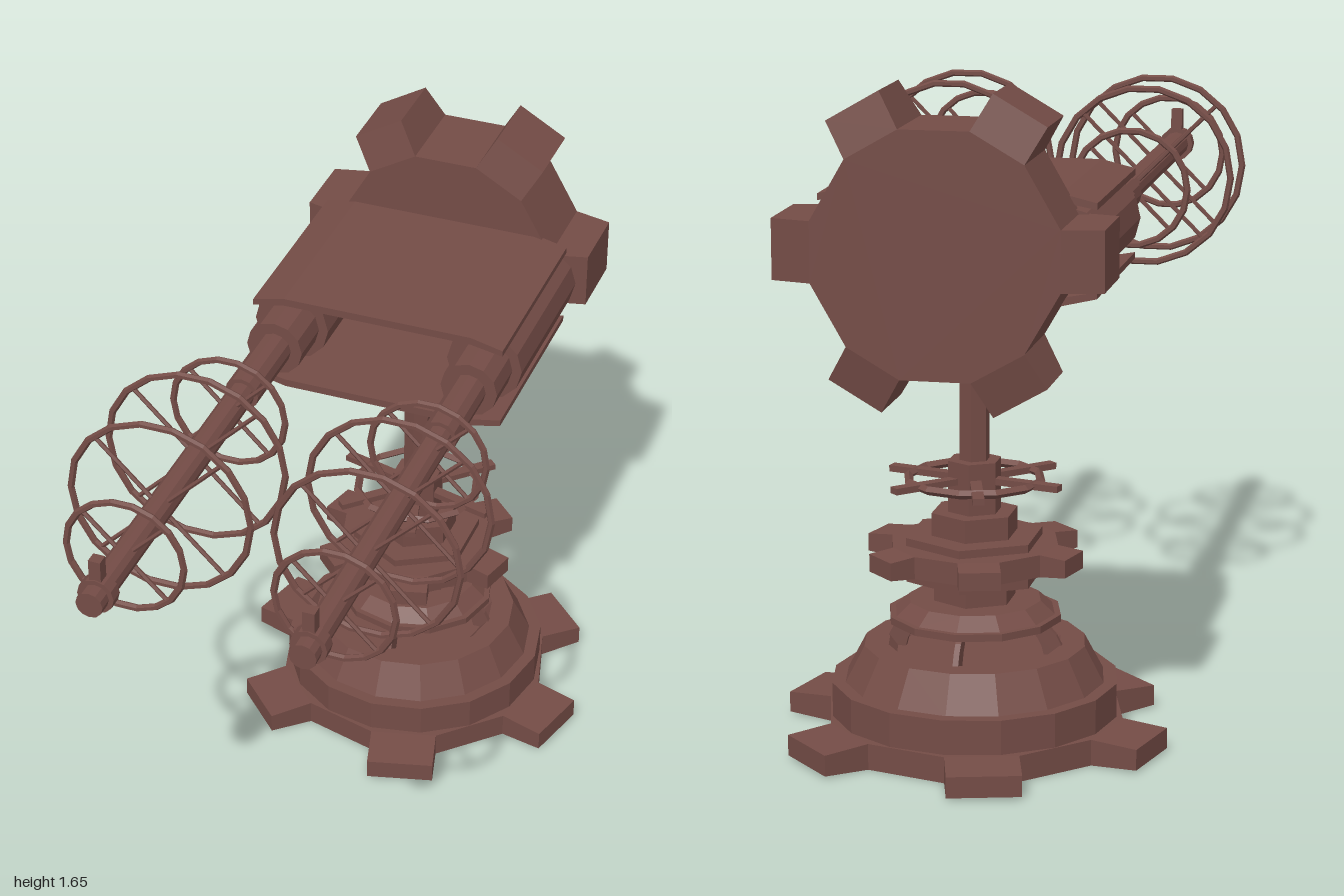
import * as THREE from 'three';

const material = new THREE.MeshStandardMaterial({
  color: 0x744c46, flatShading: true, side: THREE.DoubleSide,
});

function add(parent, name, geometry, x = 0, y = 0, z = 0) {
  const mesh = new THREE.Mesh(geometry, material);
  mesh.name = name;
  mesh.position.set(x, y, z);
  parent.add(mesh);
  return mesh;
}

// Upright cylinder between two heights
function drum(parent, name, y0, y1, rBottom, rTop = rBottom, sides = 6) {
  return add(parent, name, new THREE.CylinderGeometry(rTop, rBottom, y1 - y0, sides), 0, (y0 + y1) / 2, 0);
}

// Cylinder along z between two depths
function barrelPart(parent, name, z0, z1, r, sides = 12) {
  const g = new THREE.CylinderGeometry(r, r, z1 - z0, sides).rotateX(Math.PI / 2);
  return add(parent, name, g, 0, 0, (z0 + z1) / 2);
}

// Six-toothed gear in the xy plane, thickness along z; teeth taper towards the tip
function makeGear(name, outer, depth, startAngle = 0) {
  const gear = new THREE.Group();
  gear.name = name;
  const root = outer * 0.774, halfWidth = outer * 0.186;
  const spread = Math.asin(halfWidth / root);
  const points = [];
  for (let i = 0; i < 6; i++) {
    const a = startAngle + i * Math.PI / 3;
    for (const s of [-spread, spread]) {
      points.push(new THREE.Vector2(Math.cos(a + s) * root, Math.sin(a + s) * root));
    }
  }
  const body = new THREE.ExtrudeGeometry(new THREE.Shape(points), { depth, bevelEnabled: false });
  add(gear, name + 'Body', body.translate(0, 0, -depth / 2));

  const inner = root * Math.cos(spread);
  for (let i = 0; i < 6; i++) {
    const tooth = new THREE.BoxGeometry(outer - inner, halfWidth * 2, depth);
    tooth.translate((outer + inner) / 2, 0, 0);
    const p = tooth.attributes.position;
    for (let j = 0; j < p.count; j++) {
      if (p.getX(j) > outer - 0.001) p.setZ(j, p.getZ(j) * 0.8);
    }
    add(gear, name + 'Tooth', tooth).rotation.z = startAngle + i * Math.PI / 3;
  }
  return gear;
}

function flatGear(parent, name, outer, y0, y1) {
  const gear = makeGear(name, outer, y1 - y0, -Math.PI / 12);
  gear.rotation.x = -Math.PI / 2;
  gear.position.y = (y0 + y1) / 2;
  parent.add(gear);
}

function makePedestal() {
  const g = new THREE.Group();
  g.name = 'pedestal';
  flatGear(g, 'baseGear', 0.48, 0, 0.065);
  drum(g, 'baseDrum', 0.06, 0.15, 0.355, 0.355, 16);

  // Sloped dome with a shallow recess on top
  const dome = [[0.325, 0.145], [0.275, 0.24], [0.215, 0.24], [0.195, 0.215], [0, 0.215]];
  add(g, 'dome', new THREE.LatheGeometry(dome.map(([x, y]) => new THREE.Vector2(x, y)), 16));

  // Four curved ribs carrying the collar
  const rib = new THREE.Shape();
  rib.moveTo(0.225, 0.21);
  rib.quadraticCurveTo(0.215, 0.29, 0.13, 0.315);
  rib.lineTo(0.09, 0.305);
  rib.quadraticCurveTo(0.165, 0.28, 0.175, 0.21);
  const ribGeo = new THREE.ExtrudeGeometry(rib, { depth: 0.014, bevelEnabled: false, curveSegments: 5 });
  ribGeo.translate(0, 0, -0.007);
  for (let i = 0; i < 4; i++) add(g, 'rib', ribGeo).rotation.y = i * Math.PI / 2;

  // Stacked collars and hubs
  drum(g, 'collarRim', 0.3, 0.318, 0.215, 0.215, 12);
  drum(g, 'collar', 0.318, 0.35, 0.2, 0.165, 12);
  drum(g, 'lowerHub', 0.35, 0.41, 0.105);
  drum(g, 'lowerFlange', 0.405, 0.44, 0.175);
  flatGear(g, 'middleGear', 0.27, 0.44, 0.495);
  drum(g, 'upperFlange', 0.49, 0.515, 0.175);
  drum(g, 'upperHub', 0.515, 0.572, 0.11);
  drum(g, 'neck', 0.57, 0.7, 0.068);
  drum(g, 'post', 0.69, 1.14, 0.038);

  // Open spoked wheel around the neck
  const rim = new THREE.TorusGeometry(0.165, 0.011, 4, 12).rotateX(Math.PI / 2);
  add(g, 'wheelRim', rim, 0, 0.652, 0);
  for (let i = 0; i < 6; i++) {
    const spoke = new THREE.BoxGeometry(0.18, 0.016, 0.028).translate(0.14, 0, 0);
    add(g, 'wheelSpoke', spoke, 0, 0.652, 0).rotation.y = -Math.PI / 12 + i * Math.PI / 3;
  }
  g.position.z = -0.5;
  return g;
}

function makeBarrel() {
  const g = new THREE.Group();
  g.name = 'barrel';
  barrelPart(g, 'housing', -0.7, -0.25, 0.1);
  barrelPart(g, 'breech', -0.25, -0.13, 0.075);
  barrelPart(g, 'sleeve', -0.13, 0.09, 0.045);
  barrelPart(g, 'tube', 0.09, 1, 0.034);
  barrelPart(g, 'muzzleBand', 0.93, 0.965, 0.046);
  add(g, 'sight', new THREE.BoxGeometry(0.03, 0.065, 0.03), 0, 0.065, 0.947);

  // Rings held by four diagonal spokes
  for (const [z, r] of [[0.17, 0.15], [0.375, 0.233], [0.595, 0.233], [0.8, 0.15]]) {
    add(g, 'ring', new THREE.TorusGeometry(r, 0.009, 6, 18), 0, 0, z);
    for (let i = 0; i < 4; i++) {
      const spoke = new THREE.CylinderGeometry(0.006, 0.006, r - 0.02, 5).translate(0, (r + 0.02) / 2, 0);
      add(g, 'ringSpoke', spoke, 0, 0, z).rotation.z = Math.PI / 4 + i * Math.PI / 2;
    }
  }
  return g;
}

function makeHead() {
  const g = new THREE.Group();
  g.name = 'head';
  const gear = makeGear('rearGear', 0.39, 0.235);
  gear.position.set(0, 0.01, -0.797);
  g.add(gear);

  // Top and bottom plates with edges bent towards the barrels
  const s = new THREE.Shape([
    [-0.335, 0.092], [-0.25, 0.108], [0.25, 0.108], [0.335, 0.092],
    [0.335, 0.108], [0.25, 0.128], [-0.25, 0.128], [-0.335, 0.108],
  ].map(([x, y]) => new THREE.Vector2(x, y)));
  const plate = new THREE.ExtrudeGeometry(s, { depth: 0.52, bevelEnabled: false });
  add(g, 'topPlate', plate, 0, 0, -0.69);
  add(g, 'bottomPlate', plate, 0, -0.01, -0.69).rotation.z = Math.PI;

  for (const side of [-1, 1]) {
    const barrel = makeBarrel();
    barrel.name = side > 0 ? 'leftBarrel' : 'rightBarrel';
    barrel.position.x = side * 0.262;
    g.add(barrel);
  }
  g.position.y = 1.265;
  return g;
}

export function createModel() {
  const model = new THREE.Group();
  model.name = 'twinBarrelTurret';
  model.add(makePedestal(), makeHead());
  return model;
}
